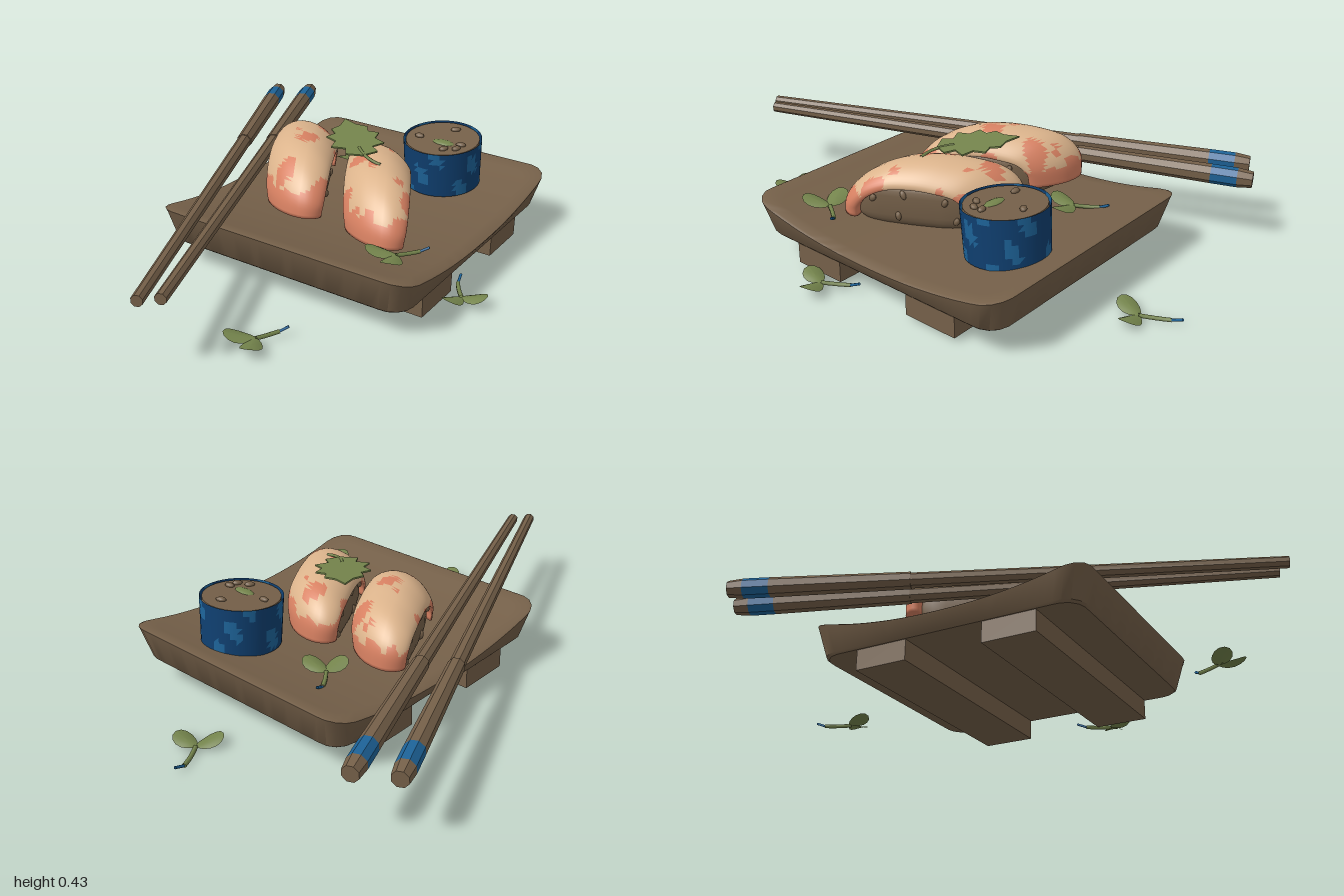
import * as THREE from 'three';
import { toCreasedNormals } from 'three/addons/utils/BufferGeometryUtils.js';

const material = (name, color, side = THREE.FrontSide) => {
  const m = new THREE.MeshStandardMaterial({ color, side });
  m.name = name;
  return m;
};

// Skin a list of closed rings; faces are turned outwards by checking the volume
function loft(rings) {
  const n = rings[0].length, index = [];
  const pts = rings.flat();
  for (let r = 0; r < rings.length - 1; r++) for (let i = 0; i < n; i++) {
    const a = r * n + i, b = r * n + (i + 1) % n;
    index.push(a, b, a + n, b, b + n, a + n);
  }
  let volume = 0;
  for (let i = 0; i < index.length; i += 3)
    volume += pts[index[i]].clone().cross(pts[index[i + 1]]).dot(pts[index[i + 2]]);
  if (volume < 0) index.reverse();
  const g = new THREE.BufferGeometry().setFromPoints(pts);
  g.setIndex(index);
  g.computeVertexNormals();
  return g;
}

// Sort triangles into two material groups by a rule on their centre
function paint(g, rule) {
  const sets = [[], []], p = g.attributes.position, idx = g.index.array;
  const c = new THREE.Vector3(), v = new THREE.Vector3();
  for (let i = 0; i < idx.length; i += 3) {
    c.set(0, 0, 0);
    for (let k = 0; k < 3; k++) c.add(v.fromBufferAttribute(p, idx[i + k]));
    c.divideScalar(3);
    sets[rule(c) ? 1 : 0].push(idx[i], idx[i + 1], idx[i + 2]);
  }
  g.setIndex([...sets[0], ...sets[1]]);
  g.clearGroups();
  g.addGroup(0, sets[0].length, 0);
  g.addGroup(sets[0].length, sets[1].length, 1);
  return g;
}

const power = (x, e) => Math.sign(x) * Math.abs(x) ** e;

export function createModel() {
  const model = new THREE.Group();
  const brown = material('brown', 0x756049);
  const peach = material('peach', 0xdcb48c);
  const salmon = material('salmon', 0xd88162);
  const navy = material('navy', 0x0f3f70, THREE.DoubleSide);
  const blue = material('blue', 0x1d6398, THREE.DoubleSide);
  const green = material('green', 0x74844c, THREE.DoubleSide);
  const add = (parent, name, geometry, mat) => {
    const mesh = new THREE.Mesh(geometry, mat);
    mesh.name = name;
    parent.add(mesh);
    return mesh;
  };

  // Serving board with a surface that dips along its depth
  const board = new THREE.Group();
  board.name = 'board';
  board.position.set(0.14, 0, -0.15);
  board.rotation.y = 0.035;
  model.add(board);
  const W = 0.52, D = 0.56, R = 0.08;
  const outline = new THREE.Shape();
  outline.absarc(W - R, D - R, R, 0, Math.PI / 2);
  outline.absarc(R - W, D - R, R, Math.PI / 2, Math.PI);
  outline.absarc(R - W, R - D, R, Math.PI, Math.PI * 1.5);
  outline.absarc(W - R, R - D, R, Math.PI * 1.5, Math.PI * 2);
  outline.closePath();
  const edge = outline.getSpacedPoints(120).slice(0, -1);
  const topY = z => 0.165 + 0.073 * Math.min(1, Math.abs(z) / D) ** 2.2;
  const ring = (s, drop) => edge.map(p =>
    new THREE.Vector3(p.x * s, drop === null ? 0.1 : topY(p.y * s) - drop, p.y * s));
  const boardRings = [ring(0.001, null), ring(0.93, null)];
  boardRings.push(edge.map(p => new THREE.Vector3(p.x * 0.945, 0.108, p.y * 0.945)));
  boardRings.push(ring(0.995, 0.012), ring(1, 0.005), ring(0.985, 0));
  for (const s of [0.9, 0.75, 0.6, 0.45, 0.3, 0.15, 0.001]) boardRings.push(ring(s, 0));
  add(board, 'tray', toCreasedNormals(loft(boardRings), 0.6), brown);
  for (const z of [0.265, -0.255])
    add(board, 'foot', new THREE.BoxGeometry(0.96, 0.09, 0.21), brown).position.set(0, 0.065, z);

  // Chopsticks: end cap, coloured band, handle and thinner shaft
  const chopstick = (from, to) => {
    const stick = new THREE.Group();
    stick.name = 'chopstick';
    const a = new THREE.Vector3(...from), d = new THREE.Vector3(...to).sub(a), L = d.length();
    stick.position.copy(a);
    stick.quaternion.setFromUnitVectors(new THREE.Vector3(0, 1, 0), d.normalize());
    const segments = [['endCap', 0, 0.055, 0.03, 0.036, brown], ['band', 0.055, 0.15, 0.036, 0.036, blue],
      ['handle', 0.15, 0.65, 0.036, 0.031, brown], ['shaft', 0.65, L, 0.028, 0.021, brown]];
    for (const [name, s, e, r0, r1, mat] of segments) {
      const g = toCreasedNormals(new THREE.CylinderGeometry(r1, r0, e - s, 8), 0.5);
      add(stick, name, g, mat).position.y = (s + e) / 2;
    }
    model.add(stick);
  };
  chopstick([-0.735, 0.25, -0.775], [0.1, 0.275, 0.985]);
  chopstick([-0.615, 0.252, -0.855], [0.15, 0.275, 0.935]);

  // Rice pieces topped with a draped fish slice, sheared in plan
  const arch = new THREE.CatmullRomCurve3([[-0.232, 0.215], [-0.222, 0.3], [-0.17, 0.355], [-0.08, 0.378],
    [0, 0.382], [0.08, 0.37], [0.16, 0.325], [0.21, 0.26], [0.222, 0.195]].map(([z, y]) => new THREE.Vector3(0, y, z)));
  const ricePiece = (x, y, shear, seed) => {
    const piece = new THREE.Group();
    piece.name = 'ricePiece';
    piece.position.set(x, y, -0.09);
    model.add(piece);
    const bulge = v => v.set(0.118 * power(v.x, 0.6), 0.255 + 0.095 * power(v.y, 0.6), 0.21 * power(v.z, 0.6))
      .setX(v.x + shear * v.z);
    const rice = new THREE.SphereGeometry(1, 24, 16), p = rice.attributes.position, v = new THREE.Vector3();
    for (let i = 0; i < p.count; i++) p.setXYZ(i, ...bulge(v.fromBufferAttribute(p, i)).toArray());
    rice.computeVertexNormals();
    add(piece, 'rice', rice, brown);
    for (const side of [1, -1]) for (const [gy, gz] of [[0.1, 0.4], [-0.2, 0.05], [0.15, -0.35], [-0.3, -0.6], [0.3, 0.02]]) {
      const grain = add(piece, 'grain', new THREE.SphereGeometry(0.013, 8, 6), brown);
      grain.position.copy(bulge(new THREE.Vector3(side, gy, gz).normalize()));
      grain.scale.set(0.7, 0.9, 1.4);
      grain.rotation.x = gy * 7;
    }
    const rings = [], N = 56, M = 40;
    for (let i = 0; i <= N; i++) {
      const u = i / N, c = arch.getPointAt(u), t = arch.getTangentAt(u);
      const k = i === 0 || i === N ? 0.01 : 1, half = 0.14 * (1 - 0.14 * Math.abs(2 * u - 1) ** 3);
      rings.push(Array.from({ length: M }, (_, j) => {
        const a = j / M * Math.PI * 2, q = power(Math.cos(a), 0.7);
        const n = (0.03 * power(Math.sin(a), 0.8) - 0.045 * q * q) * k;
        const z = c.z - t.y * n;
        return new THREE.Vector3(half * q * k + shear * z, c.y + t.z * n, z);
      }));
    }
    const blotch = c => {
      const s = c.x - shear * c.z;
      const noise = Math.sin(26 * s + 9 * c.z + seed) + Math.sin(31 * c.z - 13 * s + seed * 2) + 0.6 * Math.sin(57 * (c.z + s));
      return noise > 1.15 || c.y + 0.02 * noise < 0.305;
    };
    add(piece, 'fishSlice', paint(loft(rings), blotch), [peach, salmon]);
  };
  ricePiece(-0.085, 0, 0.53, 1);
  ricePiece(0.255, -0.015, 0.58, 3.4);

  // Wrapped roll, slightly tilted
  const roll = new THREE.Group();
  roll.name = 'roll';
  roll.position.set(0.305, 0.28, -0.475);
  roll.rotation.x = 0.085;
  model.add(roll);
  const wrap = paint(new THREE.CylinderGeometry(0.15, 0.145, 0.18, 42, 8, true), c => {
    const a = Math.atan2(c.z, c.x);
    return Math.sin(5 * a + 22 * c.y) + Math.sin(8 * a - 40 * c.y + 1) > 0.85;
  });
  add(roll, 'wrap', wrap, [navy, blue]);
  add(roll, 'rollRice', new THREE.CylinderGeometry(0.141, 0.141, 0.172, 28), brown);
  for (const [x, z, r] of [[0.01, -0.085, 0.6], [-0.085, 0.03, 0], [0.05, 0.08, 1], [0.09, 0.055, 1.1], [0.09, 0.02, 0.3]]) {
    const grain = add(roll, 'grain', new THREE.SphereGeometry(0.014, 8, 6), brown);
    grain.position.set(x, 0.09, z);
    grain.scale.set(1.4, 0.7, 0.9);
    grain.rotation.y = r;
  }
  const filling = add(roll, 'filling', new THREE.SphereGeometry(0.03, 10, 6), green);
  filling.position.set(0.02, 0.084, 0.03);
  filling.scale.set(1.6, 0.3, 0.8);

  // Serrated leaf garnish
  const half = [[0.06, 0.02], [0.05, 0.06], [0.1, 0.08], [0.075, 0.12], [0.1, 0.16], [0.062, 0.18], [0.07, 0.215], [0.03, 0.24]];
  const leafShape = new THREE.Shape([[0, 0], ...half, [0, 0.29], ...half.map(([x, y]) => [-x, y]).reverse()]
    .map(([x, y]) => new THREE.Vector2(x, y)));
  const leaf = new THREE.Group();
  leaf.name = 'leafGarnish';
  leaf.position.set(0.205, 0.405, -0.065);
  leaf.rotation.set(0.1, 0.83, 0, 'YXZ');
  model.add(leaf);
  add(leaf, 'leafBlade', new THREE.ExtrudeGeometry(leafShape, { depth: 0.006, bevelEnabled: false }).rotateX(-Math.PI / 2), green);
  const leafStem = new THREE.QuadraticBezierCurve3(new THREE.Vector3(0, 0.004, -0.06),
    new THREE.Vector3(0, 0.004, 0.02), new THREE.Vector3(0.05, -0.005, 0.06));
  add(leaf, 'leafStem', new THREE.TubeGeometry(leafStem, 8, 0.006, 6), green);

  // Sprouts: two cupped lobes on a curved stem with a blue tip
  const sprout = (x, y, z, tail, lobes) => {
    const group = new THREE.Group();
    group.name = 'sprout';
    group.position.set(x, y, z);
    model.add(group);
    for (const [lx, lz] of lobes) {
      const len = Math.hypot(lx, lz), g = new THREE.RingGeometry(0.001, 1, 14, 3).rotateX(-Math.PI / 2);
      const p = g.attributes.position;
      for (let i = 0; i < p.count; i++) {
        const px = p.getX(i), pz = p.getZ(i);
        p.setXYZ(i, (px + 1) * len * 0.85, 0.012 * (px + 1) - 0.01 * pz * pz, pz * 0.036 * (1 + 0.25 * px));
      }
      g.computeVertexNormals();
      add(group, 'lobe', g, green).rotation.y = Math.atan2(-lz, lx);
    }
    const [tx, tz] = tail, end = new THREE.Vector3(tx, 0.012, tz);
    const mid = new THREE.Vector3(tx * 0.6 + tz * 0.12, -0.012, tz * 0.6 - tx * 0.12);
    const join = mid.clone().lerp(end, 0.35);
    add(group, 'stem', new THREE.TubeGeometry(new THREE.QuadraticBezierCurve3(new THREE.Vector3(), mid.clone().multiplyScalar(0.6), join), 8, 0.008, 6), green);
    add(group, 'stemTip', new THREE.TubeGeometry(new THREE.LineCurve3(join, end), 2, 0.005, 6), blue);
  };
  sprout(0.1, 0.018, -0.87, [-0.06, -0.13], [[-0.02, 0.055], [0.055, -0.005]]);
  sprout(-0.095, 0.2, -0.445, [-0.065, -0.105], [[0, 0.055], [0.062, 0]]);
  sprout(0.505, 0.205, 0.175, [0.075, -0.095], [[-0.058, 0.025], [0.02, 0.06]]);
  sprout(0.275, 0.032, 0.645, [0.055, -0.105], [[-0.052, 0.035], [0.026, 0.055]]);
  sprout(0.685, 0.032, 0.025, [-0.07, -0.12], [[0.052, -0.012], [-0.01, 0.05]]);
  return model;
}
